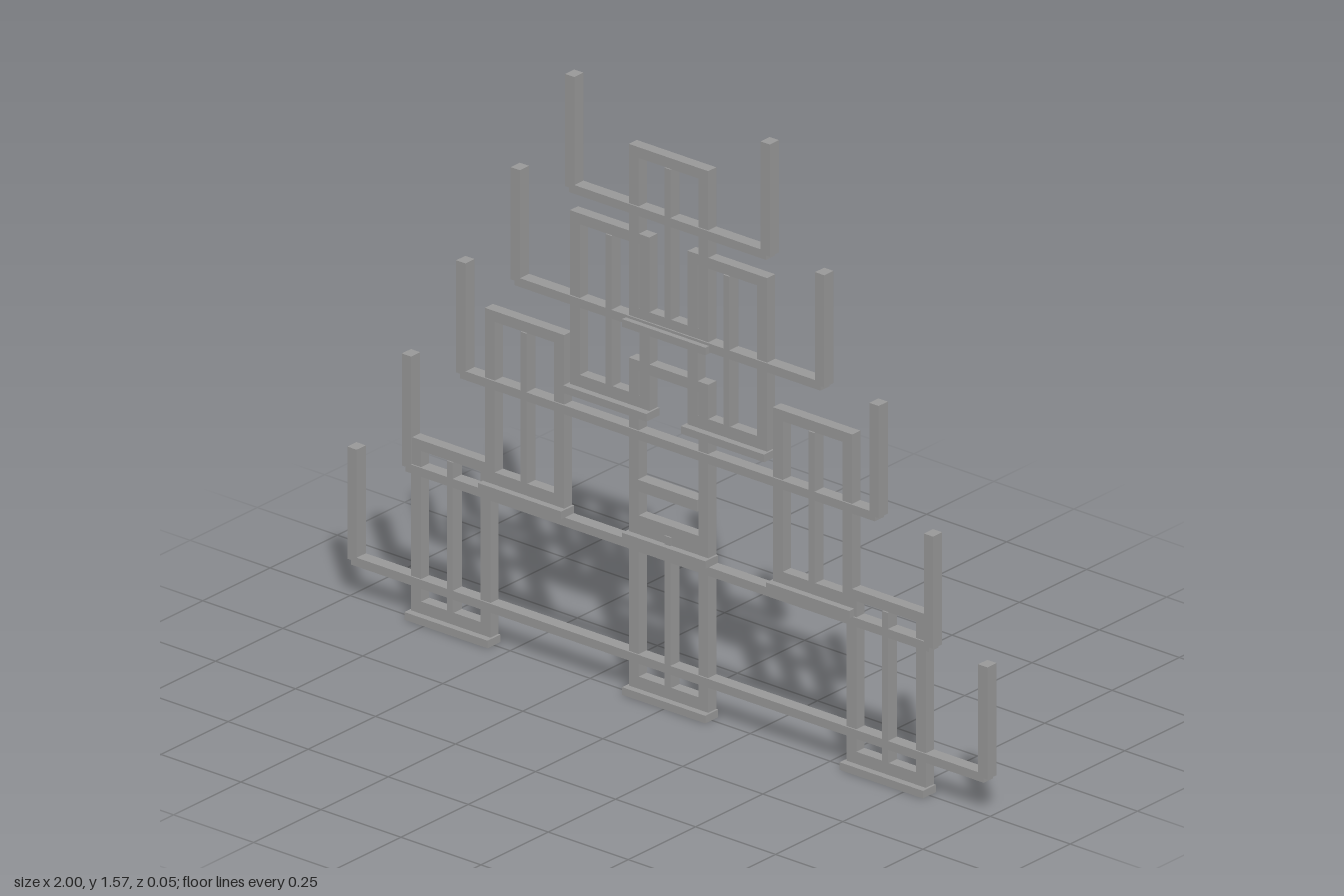
import * as THREE from 'three';

const BACK = -0.024;
const BAR = 0.031;

export function createModel() {
  const model = new THREE.Group();
  model.name = 'tieredWindowTrellis';
  const grey = new THREE.MeshStandardMaterial({ color: 0x999999 });
  grey.name = 'grey metal';

  // Box given by its edges, with its back on the common rear plane
  function bar(parent, name, x0, x1, y0, y1, front) {
    const geometry = new THREE.BoxGeometry(x1 - x0, y1 - y0, front - BACK);
    const mesh = new THREE.Mesh(geometry, grey);
    mesh.position.set((x0 + x1) / 2, (y0 + y1) / 2, (front + BACK) / 2);
    mesh.name = name;
    parent.add(mesh);
  }

  function rectangle(path, x0, x1, y0, y1) {
    path.moveTo(x0, y0);
    path.lineTo(x1, y0);
    path.lineTo(x1, y1);
    path.lineTo(x0, y1);
    path.closePath();
    return path;
  }

  // Window: frame with an opening, sill below, bar down the middle or across
  function addWindow(name, x, y, crossBar = false) {
    const group = new THREE.Group();
    group.name = name;
    group.position.set(x, y, 0);
    const half = 0.124, top = 0.475;
    const outline = rectangle(new THREE.Shape(), -half, half, 0.02, top);
    outline.holes.push(rectangle(new THREE.Path(), -half + BAR, half - BAR, 0.052, top - 0.028));
    const geometry = new THREE.ExtrudeGeometry(outline, { depth: 0.006 - BACK, bevelEnabled: false });
    geometry.translate(0, 0, BACK);
    const frame = new THREE.Mesh(geometry, grey);
    frame.name = 'windowFrame';
    group.add(frame);
    bar(group, 'windowSill', -0.13, 0.13, 0, 0.02, 0.024);
    if (crossBar) bar(group, 'crossBar', -half + BAR, half - BAR, 0.135, 0.165, 0.01);
    else bar(group, 'mullion', -0.009, 0.009, 0.052, top - 0.028, 0.01);
    model.add(group);
  }

  // Five railings, each narrower than the one below
  for (let i = 0; i < 5; i++) {
    const group = new THREE.Group();
    group.name = `railing${i + 1}`;
    const half = 1 - 0.17 * i;
    const y = 0.088 + 0.2935 * i;
    bar(group, 'rail', -half + 0.012, half - 0.012, y, y + 0.023, 0.01);
    for (const side of [-1, 1]) {
      const a = side * half, b = side * (half - 0.029);
      bar(group, 'endPost', Math.min(a, b), Math.max(a, b), y + 0.012, y + 0.306, 0.01);
    }
    model.add(group);
  }

  // Central windows
  addWindow('lowerCentreWindow', 0, 0);
  addWindow('middleCentreWindow', 0, 0.405, true);
  addWindow('topCentreWindow', 0, 0.965);

  // Paired side windows
  for (const side of [-1, 1]) {
    addWindow('lowerSideWindow', side * 0.68, 0);
    addWindow('middleSideWindow', side * 0.45, 0.405);
    addWindow('upperSideWindow', side * 0.184, 0.738);
  }
  return model;
}
